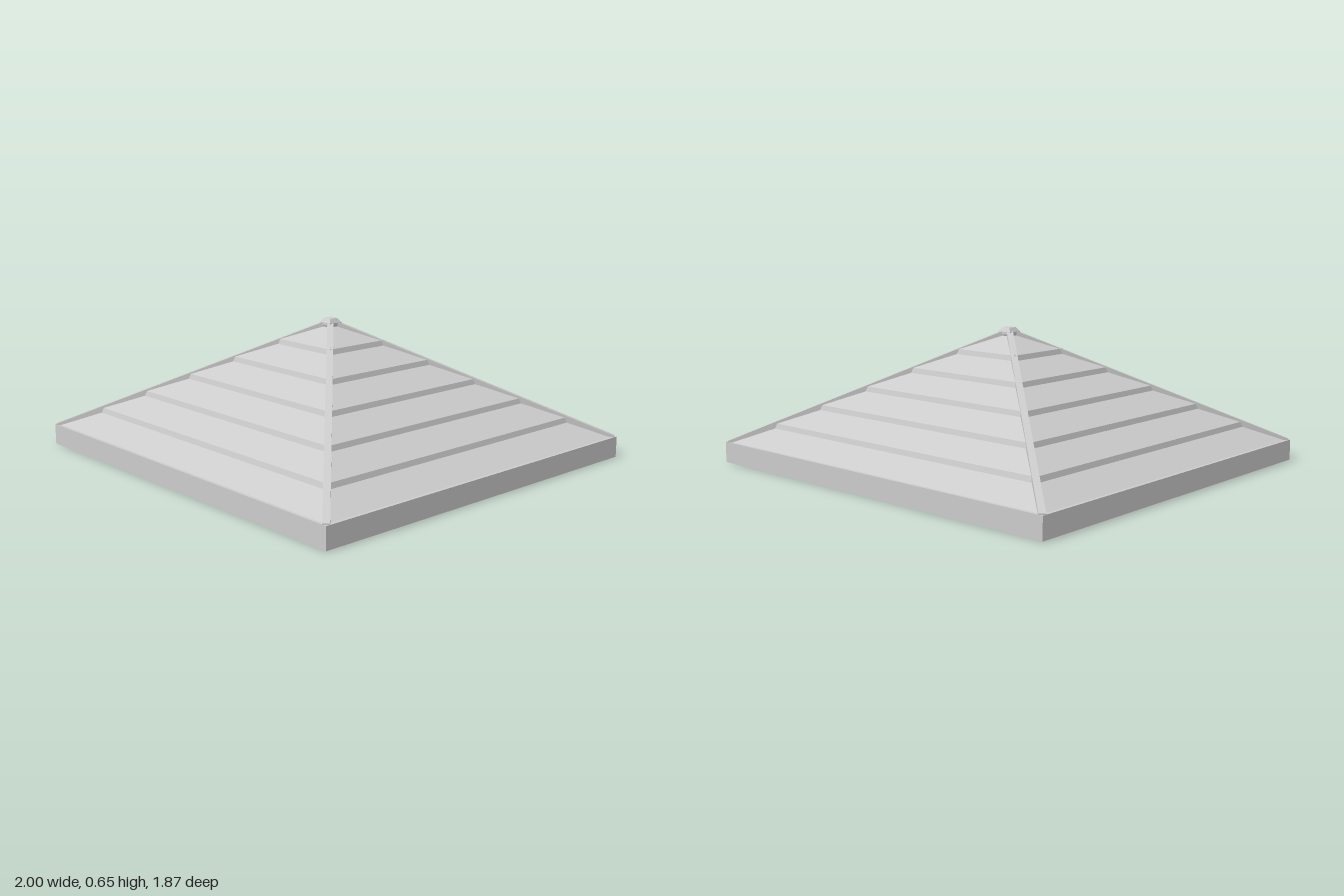
import * as THREE from 'three';

const HX = 1, HZ = 0.93;        // half width and half depth of the eaves
const EAVE = 0.1, SOFFIT = 0.06;

const material = new THREE.MeshStandardMaterial({ color: 0xcccccc, flatShading: true, side: THREE.DoubleSide });

export function createModel() {
  const model = new THREE.Group();

  const add = (geometry, name, x = 0, y = 0, z = 0) => {
    const mesh = new THREE.Mesh(geometry, material);
    mesh.name = name;
    mesh.position.set(x, y, z);
    model.add(mesh);
    return mesh;
  };
  const box = (name, w, h, d, x, y, z) => add(new THREE.BoxGeometry(w, h, d), name, x, y, z);

  // Four-sided solid from a profile of [half width, height], stretched to the plan
  const pyramid = (profile, depthRatio) => {
    const points = profile.map(([r, y]) => new THREE.Vector2(r * Math.SQRT2, y));
    const geometry = new THREE.LatheGeometry(points, 4).rotateY(Math.PI / 4).scale(1, 1, depthRatio).toNonIndexed();
    geometry.computeVertexNormals();
    return geometry;
  };

  // Overlapping roof tiers: each slopes up to the upright lip of the next
  const profile = [[0.99, EAVE - 0.005], [0.985, EAVE]];
  for (let i = 0; i < 5; i++) {
    const r = 0.83 - i * 0.16, y = 0.167 + i * 0.0895;
    profile.push([r + 0.005, y], [r - 0.003, y + 0.024]);
  }
  profile.push([0.03, 0.615]);
  add(pyramid(profile, HZ / HX), 'roofTiers');

  // Chamfered cap on the peak
  add(pyramid([[0.026, 0.6], [0.036, 0.62], [0.036, 0.632], [0.022, 0.652], [0, 0.652]], 1), 'peakCap');

  // Fascia boards round the eaves
  const t = 0.018;
  for (const s of [-1, 1]) {
    box('fasciaLong', 2 * HX, EAVE, t, 0, EAVE / 2, s * (HZ - t / 2));
    box('fasciaShort', t, EAVE, 2 * (HZ - t), s * (HX - t / 2), EAVE / 2, 0);
  }

  // Hip ridges, with a diagonal beam below each in the corner of the soffit
  const diagonal = Math.hypot(HX, HZ);
  const hipShape = new THREE.Shape([
    [diagonal - 0.012, EAVE], [diagonal - 0.012, EAVE + 0.006], [0, 0.648], [0, 0.59], [diagonal - 0.12, EAVE - 0.01],
  ].map(([x, y]) => new THREE.Vector2(x, y)));
  const hipGeometry = new THREE.ExtrudeGeometry(hipShape, { depth: 0.03, bevelEnabled: false }).translate(0, 0, -0.015);
  for (const sx of [-1, 1]) for (const sz of [-1, 1]) {
    const angle = Math.atan2(-sz * HZ, sx * HX);
    add(hipGeometry, 'hipRidge').rotation.y = angle;
    box('cornerBeam', 0.48, 0.04, 0.03, sx * 0.8, SOFFIT - 0.02, sz * 0.8 * HZ).rotation.y = angle;
  }

  // Soffit and ceiling planks
  box('soffit', 2 * (HX - t), 0.015, 2 * (HZ - t), 0, SOFFIT + 0.0075, 0);
  const planks = 10, pitch = 1.24 / planks;
  for (let i = 0; i < planks; i++) {
    box('ceilingPlank', 1.36, 0.012, pitch - 0.008, 0, SOFFIT - 0.004, (i - (planks - 1) / 2) * pitch);
  }

  // Rafter tails, four on each side
  for (let i = 0; i < 4; i++) for (const s of [-1, 1]) {
    const k = (i - 1.5) / 3;
    box('rafterTail', 0.03, 0.04, 0.3, k, SOFFIT - 0.02, s * (HZ - t - 0.15));
    box('rafterTail', 0.3, 0.04, 0.03, s * (HX - t - 0.15), SOFFIT - 0.02, k * HZ);
  }

  return model;
}
